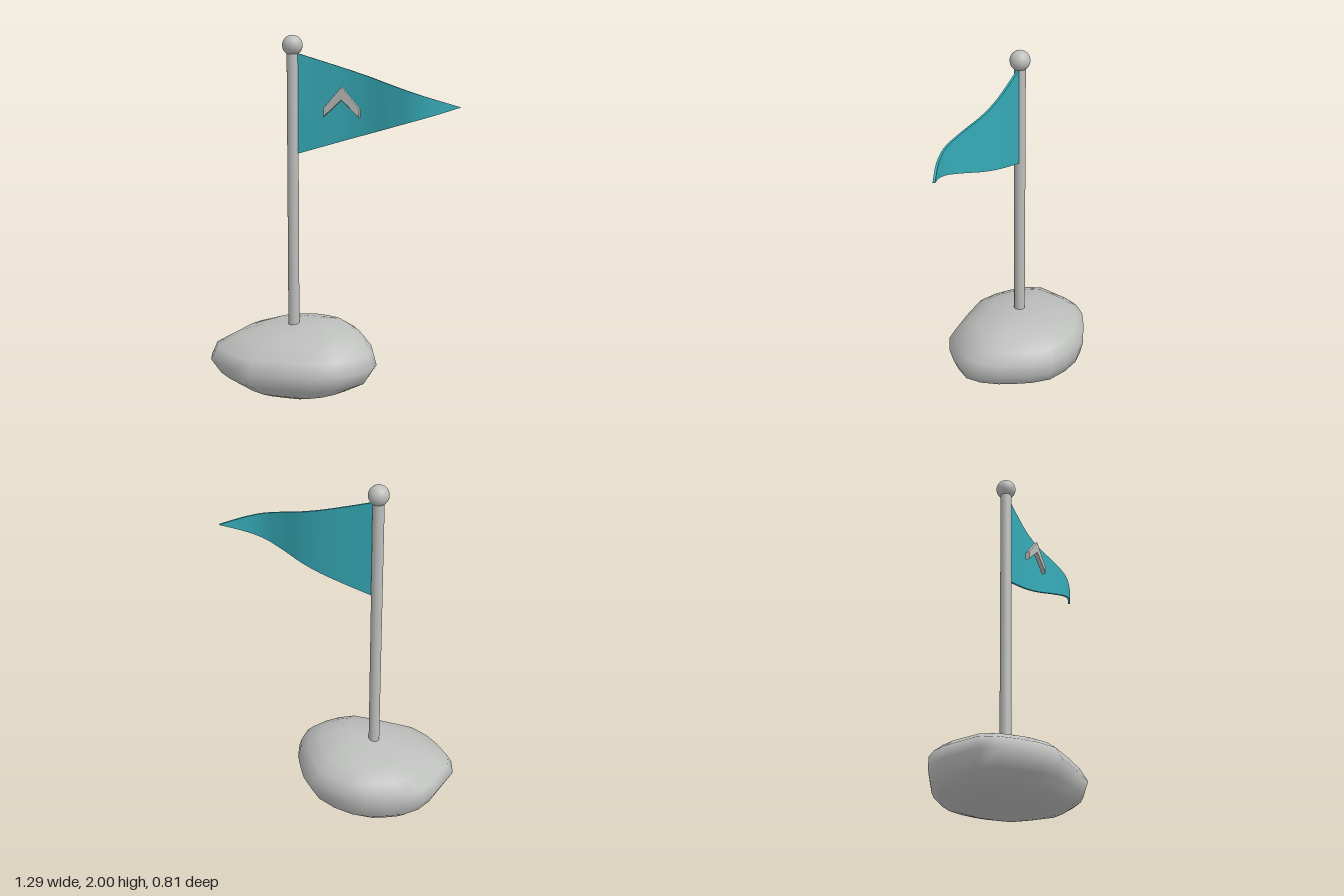
import * as THREE from 'three';

const stone = new THREE.MeshStandardMaterial({ color: 0xbcbebc });
stone.name = 'light grey';
const cloth = new THREE.MeshStandardMaterial({ color: 0x36abb8 });
cloth.name = 'teal';

const POLE_X = -0.18, POLE_Z = -0.02;

// Plan outline of the boulder as x, z pairs, starting at +x and turning towards +z
const OUTLINE = [
  [0.26, 0.1], [0.245, 0.21], [0.2, 0.3], [0.1, 0.355], [-0.01, 0.39], [-0.13, 0.4], [-0.3, 0.335],
  [-0.47, 0.26], [-0.55, 0.17], [-0.6, 0.08], [-0.645, -0.04], [-0.635, -0.14], [-0.51, -0.3],
  [-0.43, -0.365], [-0.335, -0.4], [-0.2, -0.405], [-0.1, -0.4], [0, -0.37], [0.11, -0.3],
  [0.2, -0.21], [0.24, -0.1], [0.253, 0],
];
// Boulder levels: y, left x, right x, back z, front z
const LEVELS = [
  [0.005, -0.25, -0.11, -0.06, 0.06], [0.035, -0.4, -0.02, -0.22, 0.2], [0.075, -0.5, 0.1, -0.34, 0.31],
  [0.13, -0.59, 0.21, -0.39, 0.375], [0.21, -0.645, 0.26, -0.405, 0.4], [0.28, -0.61, 0.245, -0.405, 0.36],
  [0.34, -0.49, 0.2, -0.36, 0.3], [0.385, -0.33, 0.13, -0.27, 0.22], [0.41, -0.15, 0.04, -0.1, 0.1],
];

function boulderGeometry() {
  const n = OUTLINE.length, pos = [], idx = [];
  for (const [y, l, r, b, f] of LEVELS) {
    for (const [x, z] of OUTLINE) {
      const u = (x + 0.645) / 0.905, w = (z + 0.405) / 0.805;
      pos.push(l + (r - l) * u, y, b + (f - b) * w);
    }
  }
  const bottom = LEVELS.length * n, top = bottom + 1, last = bottom - n;
  pos.push(-0.18, 0, 0, -0.06, 0.414, 0);
  for (let i = 0; i < n; i++) {
    const j = (i + 1) % n;
    for (let k = 0; k < LEVELS.length - 1; k++) {
      const a = k * n + i, c = k * n + j;
      idx.push(a, a + n, c, c, a + n, c + n);
    }
    idx.push(bottom, i, j, top, last + j, last + i);
  }
  const geo = new THREE.BufferGeometry();
  geo.setAttribute('position', new THREE.Float32BufferAttribute(pos, 3));
  geo.setIndex(idx);
  geo.computeVertexNormals();
  return geo;
}

// Tapering pennant: a thin box bent along a wave in plan
function pennantGeometry() {
  const wave = new THREE.CatmullRomCurve3([
    [-0.165, -0.015], [-0.03, 0.04], [0.1, 0.1], [0.2, 0.165], [0.3, 0.255], [0.4, 0.33], [0.5, 0.36], [0.64, 0.368],
  ].map(([x, z]) => new THREE.Vector3(x, 0, z)));
  const geo = new THREE.BoxGeometry(1, 1, 1, 40, 6, 1);
  const p = geo.attributes.position;
  for (let i = 0; i < p.count; i++) {
    const t = Math.min(1, Math.max(0, p.getX(i) + 0.5));
    const c = wave.getPointAt(t), d = wave.getTangentAt(t);
    const off = p.getZ(i) * 0.012;
    const height = 0.545 * (1 - t) + 0.002;
    p.setXYZ(i, c.x - d.z * off, 1.633 + p.getY(i) * height, c.z + d.x * off);
  }
  geo.computeVertexNormals();
  return geo;
}

// Upward-pointing chevron badge
function chevronGeometry() {
  const shape = new THREE.Shape([
    [0, 0.082], [0.1, -0.032], [0.1, -0.08], [0, 0.012], [-0.1, -0.08], [-0.1, -0.032],
  ].map(([x, y]) => new THREE.Vector2(x, y)));
  const geo = new THREE.ExtrudeGeometry(shape, {
    depth: 0.018, bevelEnabled: true, bevelSize: 0.004, bevelThickness: 0.004, bevelOffset: -0.004, bevelSegments: 2,
  });
  return geo.translate(0, 0, -0.009);
}

export function createModel() {
  const group = new THREE.Group();
  group.name = 'pennantOnBoulder';
  const add = (name, geo, mat, x = 0, y = 0, z = 0) => {
    const mesh = new THREE.Mesh(geo, mat);
    mesh.name = name;
    mesh.position.set(x, y, z);
    group.add(mesh);
    return mesh;
  };

  add('boulder', boulderGeometry(), stone);
  add('pole', new THREE.CylinderGeometry(0.031, 0.031, 1.62, 24), stone, POLE_X, 1.11, POLE_Z);
  add('finial', new THREE.SphereGeometry(0.055, 32, 20), stone, POLE_X, 1.945, POLE_Z);
  add('pennant', pennantGeometry(), cloth);
  add('chevron', chevronGeometry(), stone, 0.057, 1.65, 0.15).rotation.y = -0.51;
  return group;
}
